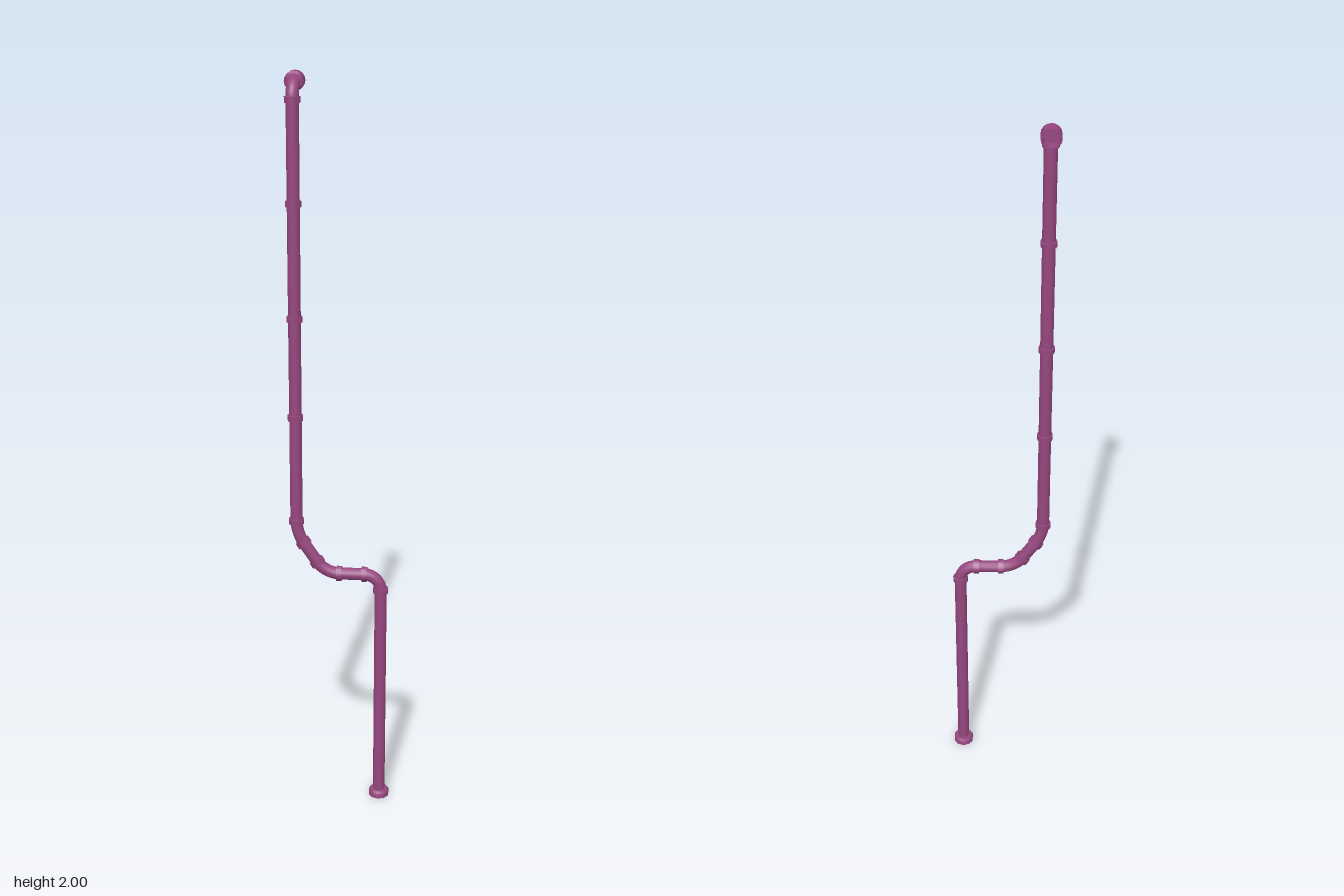
import * as THREE from 'three';
import { toCreasedNormals } from 'three/addons/utils/BufferGeometryUtils.js';

const PIPE = 0.0165, SIDES = 12, Z = 0.018;
const V = (x, y, z = Z) => new THREE.Vector3(x, y, z);

export function createModel() {
  const model = new THREE.Group();
  const material = new THREE.MeshStandardMaterial({ color: 0x96477f });

  const add = (name, geometry, position = V(0, 0, 0)) => {
    const mesh = new THREE.Mesh(geometry, material);
    mesh.name = name;
    mesh.position.copy(position);
    model.add(mesh);
    return mesh;
  };
  // Turned part with sharp edges
  const turned = (profile, sides = SIDES) => toCreasedNormals(
    new THREE.LatheGeometry(profile.map(([r, y]) => new THREE.Vector2(r, y)), sides), 0.7);
  const UP = V(0, 1, 0);

  // Route of the pipe: corners with the length each bend takes on either side
  const start = V(0.111, 0.005);
  const end = V(-0.117, 1.975, -0.03);
  const corners = [
    { at: V(0.111, 0.68), trim: 0.045 },
    { at: V(-0.04, 0.68), trim: 0.038 },
    { at: V(-0.117, 0.795), trim: 0.034 },
    { at: V(-0.117, 1.975), trim: 0.04 },
  ];

  const addRing = (point, dir) => add('jointRing', turned(
    [[PIPE - 0.002, -0.0075], [0.0205, -0.0075], [0.0205, 0.0075], [PIPE - 0.002, 0.0075]]), point)
    .quaternion.setFromUnitVectors(UP, dir);

  const addStraight = (a, b) => {
    const dir = b.clone().sub(a);
    const tube = new THREE.CylinderGeometry(PIPE, PIPE, dir.length(), SIDES, 1, true);
    add('straightPipe', tube, a.clone().lerp(b, 0.5))
      .quaternion.setFromUnitVectors(UP, dir.normalize());
  };

  // Straight runs, bends, and a ring at each end of every bend
  let from = start;
  corners.forEach(({ at, trim }, i) => {
    const prev = i ? corners[i - 1].at : start;
    const next = i < corners.length - 1 ? corners[i + 1].at : end;
    const dirIn = at.clone().sub(prev).normalize();
    const dirOut = next.clone().sub(at).normalize();
    const a = at.clone().addScaledVector(dirIn, -trim);
    const b = at.clone().addScaledVector(dirOut, trim);
    addStraight(from, a);
    // Cubic with handles close to a circular arc
    const bend = new THREE.CubicBezierCurve3(a, a.clone().lerp(at, 0.56), b.clone().lerp(at, 0.56), b);
    add('bend', new THREE.TubeGeometry(bend, 8, PIPE, SIDES));
    addRing(a, dirIn);
    if (i < corners.length - 1) addRing(b, dirOut);
    from = b;
  });
  addStraight(from, end);

  // Rings joining the lengths of the tall run
  for (const y of [1.12, 1.385, 1.68]) addRing(V(-0.117, y), UP);

  // Flange at the foot, open underneath
  add('footFlange', turned([[0.012, 0.012], [0.012, 0], [0.0285, 0], [0.0285, 0.014],
    [0.024, 0.02], [PIPE - 0.001, 0.02]], 10), V(0.111, 0));

  // Wide open socket at the top, facing back
  add('topSocket', turned([[PIPE - 0.001, 0], [0.019, 0], [0.025, 0.006], [0.025, 0.038],
    [0.021, 0.038], [0.021, 0.012], [0, 0.012]], 16), V(-0.117, 1.975, -0.012))
    .rotation.x = -Math.PI / 2;

  return model;
}
